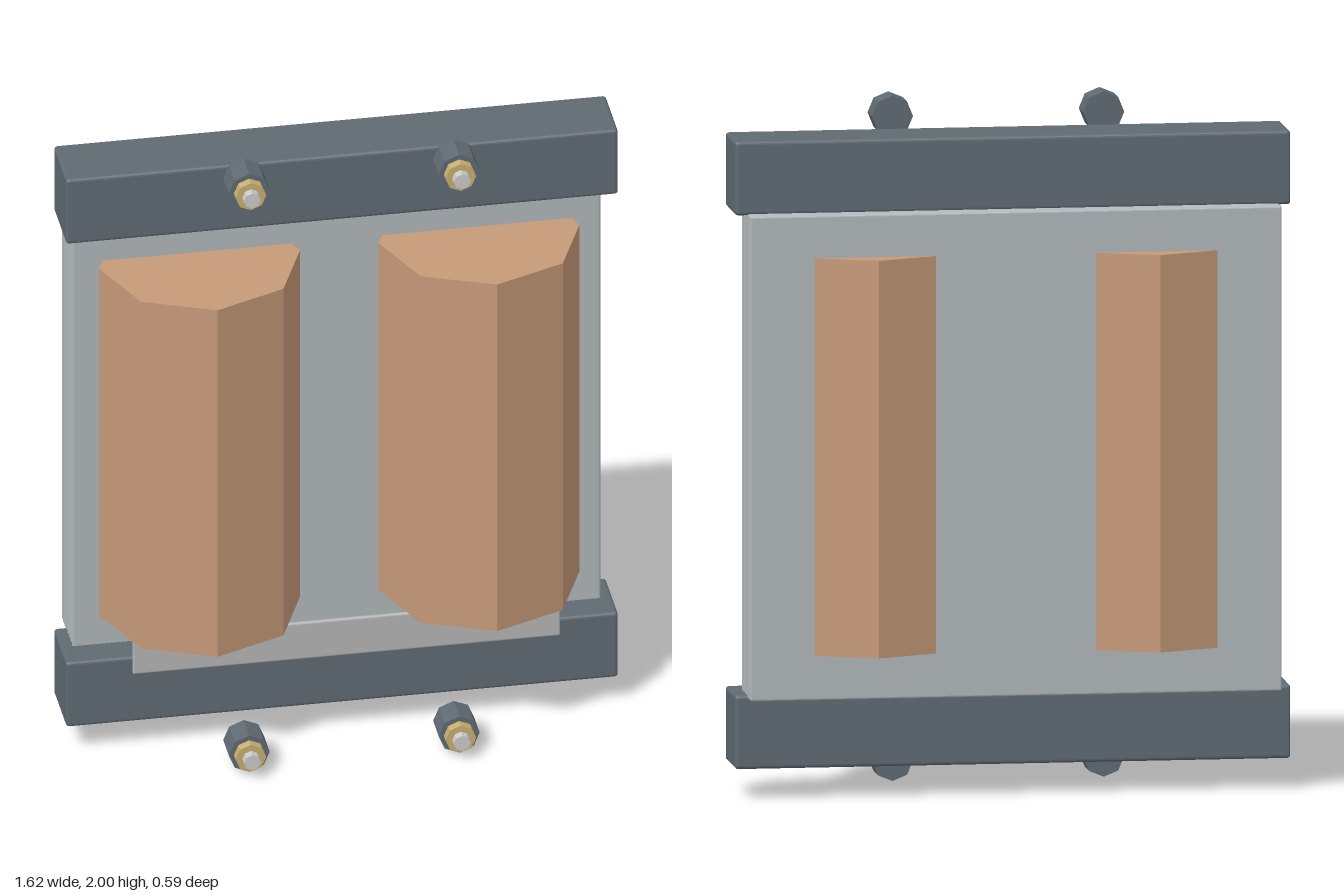
import * as THREE from 'three';
import { RoundedBoxGeometry } from 'three/addons/geometries/RoundedBoxGeometry.js';

const paint = (color) => new THREE.MeshStandardMaterial({ color, flatShading: true });
const iron = paint(0x5f6a72);
const steel = paint(0xb0b6ba);
const copper = paint(0xc69a78);
const brass = paint(0xc9b070);
const silver = paint(0xcccccc);
const plate = paint(0xb4b4b4);

export function createModel() {
  const model = new THREE.Group();

  const add = (parent, name, geometry, material, x, y, z) => {
    const mesh = new THREE.Mesh(geometry, material);
    mesh.name = name;
    mesh.position.set(x, y, z);
    parent.add(mesh);
    return mesh;
  };

  // Stack of thin core laminations
  const core = new THREE.Group();
  core.name = 'laminatedCore';
  model.add(core);
  const sheet = new RoundedBoxGeometry(1.55, 1.415, 0.016, 2, 0.006);
  for (let i = 0; i < 8; i++) {
    add(core, 'lamination', sheet, steel, 0, 1.0025, -0.05 - i * 0.0234);
  }

  // Clamping bars across the top and bottom
  const bar = new RoundedBoxGeometry(1.62, 0.216, 0.205, 2, 0.01);
  add(model, 'bottomClamp', bar, iron, 0, 0.196, -0.052);
  add(model, 'topClamp', bar, iron, 0, 1.812, -0.052);

  // Octagonal windings passing through the core
  const coil = new THREE.CylinderGeometry(0.295, 0.295, 1.16, 8);
  for (const side of [-1, 1]) {
    add(model, side > 0 ? 'leftCoil' : 'rightCoil', coil, copper, side * 0.41, 1.005, 0);
  }

  // Blank rating plate
  add(model, 'ratingPlate', new RoundedBoxGeometry(1.255, 0.122, 0.014, 2, 0.006), plate, 0, 0.347, 0.113);

  // Bolts: octagonal head, brass nut and stud along z
  const boltParts = [
    ['boltHead', 0.06, 0.152, 0.243, iron],
    ['boltNut', 0.045, 0.243, 0.27, brass],
    ['boltStud', 0.025, 0.27, 0.295, silver],
  ].map(([name, radius, back, front, material]) => ({
    name, material, z: (back + front) / 2,
    geometry: new THREE.CylinderGeometry(radius, radius, front - back, 8).rotateX(Math.PI / 2),
  }));
  for (const x of [-0.308, 0.308]) {
    for (const y of [0.06, 1.94]) {
      const bolt = new THREE.Group();
      bolt.name = 'terminalBolt';
      bolt.position.set(x, y, 0);
      for (const p of boltParts) add(bolt, p.name, p.geometry, p.material, 0, 0, p.z);
      model.add(bolt);
    }
  }

  return model;
}
